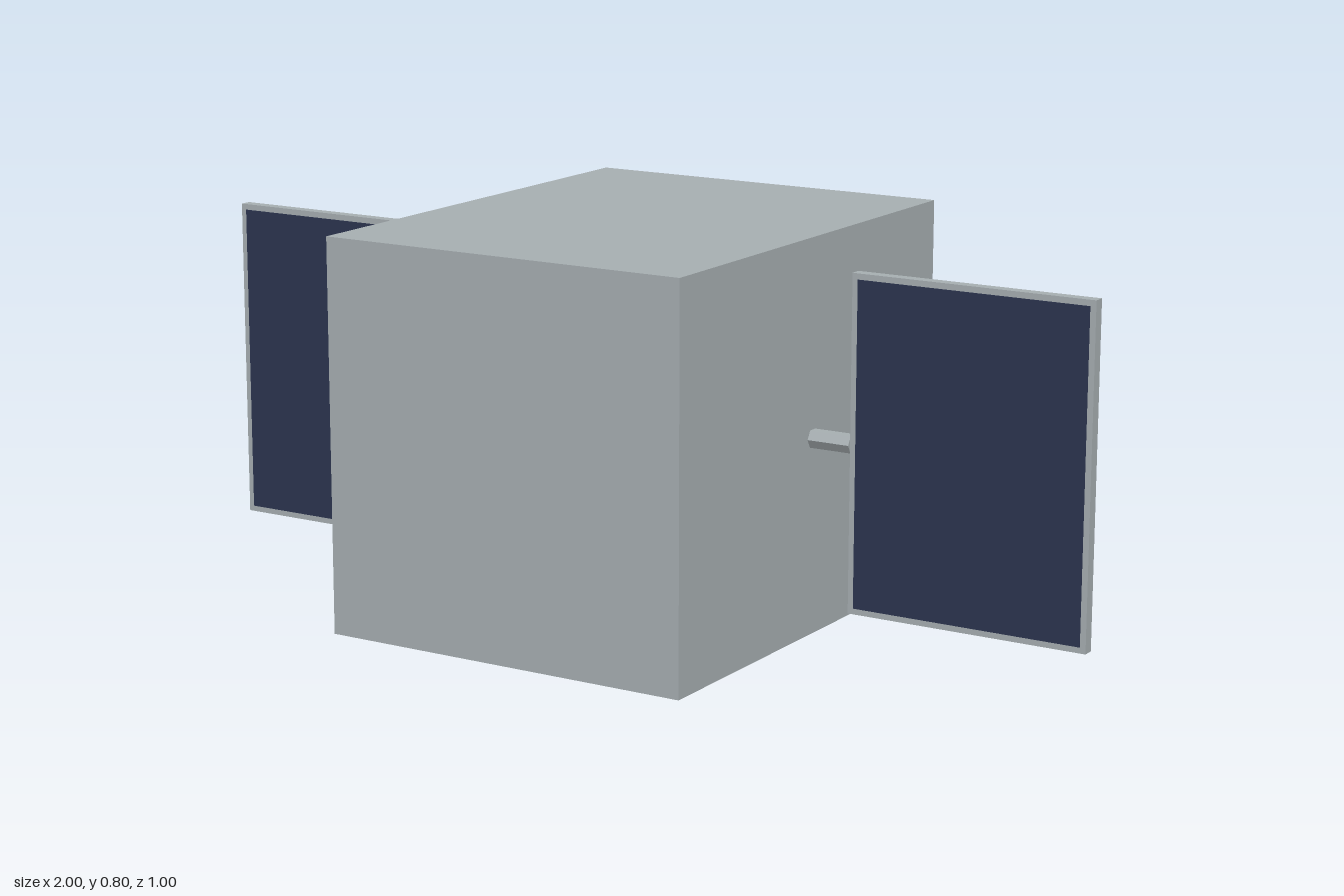
import * as THREE from 'three';

export function createModel() {
  const model = new THREE.Group();
  model.name = 'satellite';

  const grey = new THREE.MeshStandardMaterial({ color: 0xa6aeb1 });
  grey.name = 'hull grey';
  const blue = new THREE.MeshStandardMaterial({ color: 0x2c344f });
  blue.name = 'solar cell blue';

  const add = (parent, name, geometry, material, x, y, z) => {
    const mesh = new THREE.Mesh(geometry, material);
    mesh.name = name;
    mesh.position.set(x, y, z);
    parent.add(mesh);
  };

  // Box hull
  add(model, 'hull', new THREE.BoxGeometry(0.8, 0.8, 1), grey, 0, 0.4, 0);

  // Hexagonal boom, with ridges facing front and back
  const boom = new THREE.CylinderGeometry(0.02, 0.02, 0.09, 6).toNonIndexed();
  boom.rotateZ(Math.PI / 2);
  boom.computeVertexNormals();

  // Mirrored wings: boom, panel and its front cell sheet
  for (const [side, label] of [[1, 'left'], [-1, 'right']]) {
    const wing = new THREE.Group();
    wing.name = `${label}Wing`;
    add(wing, `${label}Boom`, boom, grey, side * 0.445, 0.4, 0);
    add(wing, `${label}Panel`, new THREE.BoxGeometry(0.51, 0.68, 0.024), grey, side * 0.745, 0.4, 0);
    add(wing, `${label}SolarCells`, new THREE.BoxGeometry(0.486, 0.656, 0.002), blue, side * 0.745, 0.4, 0.0122);
    model.add(wing);
  }
  return model;
}
